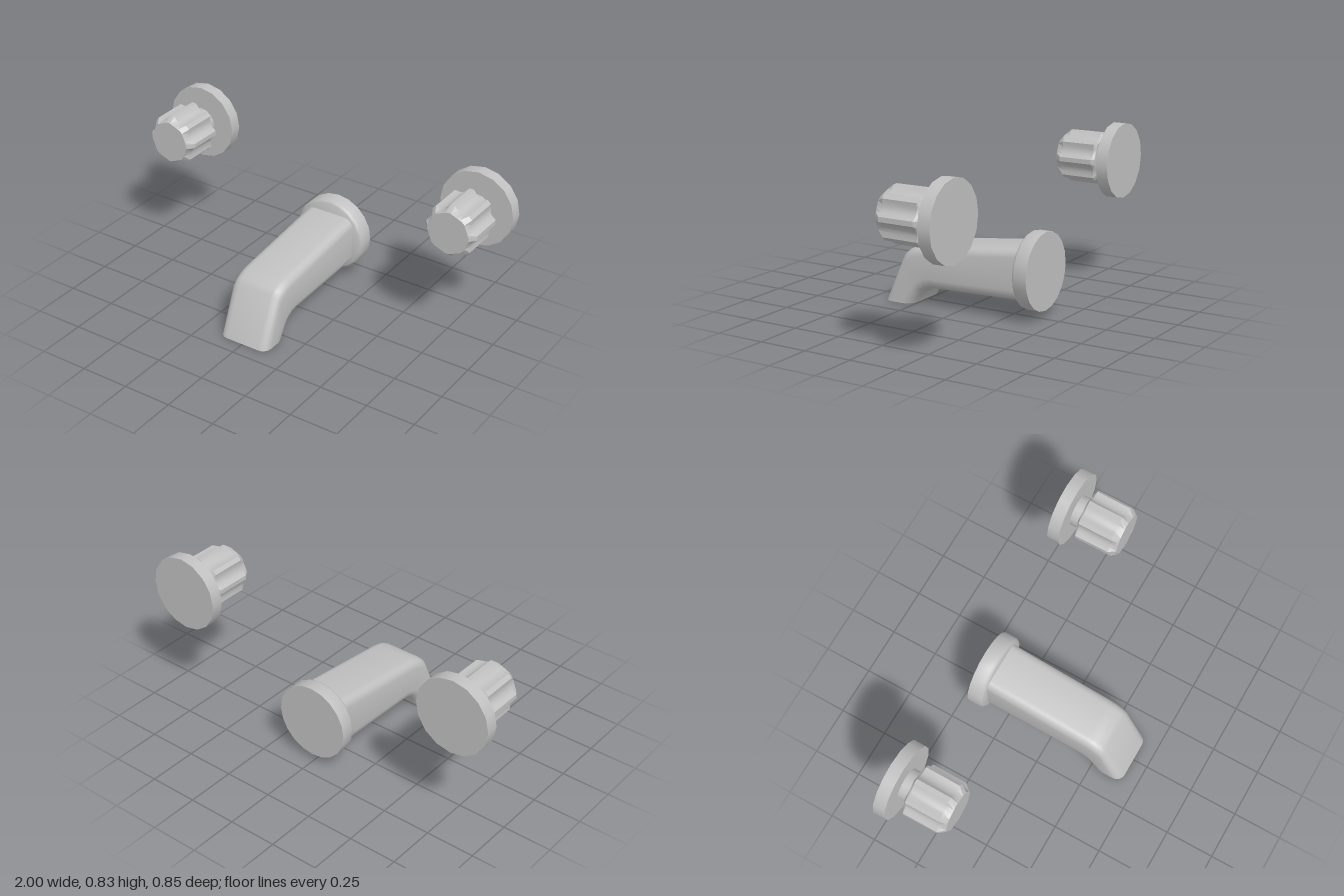
import * as THREE from 'three';
import { toCreasedNormals, mergeVertices } from 'three/addons/utils/BufferGeometryUtils.js';

// Skin a list of equal-length rings (back to front, counter-clockwise from the front), capped at both ends
function loft(rings, crease) {
  const n = rings[0].length;
  const positions = rings.flat().flatMap((p) => [p.x, p.y, p.z]);
  const index = [];
  for (let s = 0; s < rings.length - 1; s++) {
    for (let i = 0; i < n; i++) {
      const j = (i + 1) % n;
      const a = s * n + i, b = s * n + j, c = a + n, d = b + n;
      index.push(a, b, d, a, d, c);
    }
  }
  [rings[0], rings[rings.length - 1]].forEach((ring, end) => {
    const centre = ring.reduce((sum, p) => sum.add(p), new THREE.Vector3()).divideScalar(n);
    const k = positions.length / 3;
    positions.push(centre.x, centre.y, centre.z);
    const base = end ? (rings.length - 1) * n : 0;
    for (let i = 0; i < n; i++) {
      const a = base + i, b = base + ((i + 1) % n);
      if (end) index.push(k, a, b);
      else index.push(k, b, a);
    }
  });
  const geometry = new THREE.BufferGeometry();
  geometry.setAttribute('position', new THREE.Float32BufferAttribute(positions, 3));
  geometry.setIndex(index);
  return toCreasedNormals(geometry, crease);
}

// Rounded rectangle spanning from a bottom point to a top point, both given as [z, y]
function spoutRing(bottom, top) {
  const halfWidth = 0.137;
  const height = Math.hypot(top[0] - bottom[0], top[1] - bottom[1]);
  const ring = [];
  const corners = [[1, 0, 0.055, -90], [1, 1, 0.045, 0], [-1, 1, 0.045, 90], [-1, 0, 0.055, 180]];
  for (const [side, up, r, start] of corners) {
    for (let k = 0; k <= 4; k++) {
      const a = THREE.MathUtils.degToRad(start + k * 22.5);
      const x = side * (halfWidth - r) + r * Math.cos(a);
      const v = ((up ? height - r : r) + r * Math.sin(a)) / height;
      ring.push(new THREE.Vector3(
        x,
        THREE.MathUtils.lerp(bottom[1], top[1], v),
        THREE.MathUtils.lerp(bottom[0], top[0], v)
      ));
    }
  }
  return ring;
}

// Eight narrow lobes separated by wide concave flutes
function knobRing(z, lobe, flute) {
  const ring = [];
  for (let i = 0; i < 8; i++) {
    for (const [deg, depth] of [[-5, 0], [5, 0], [14, 0.8], [22.5, 1], [31, 0.8]]) {
      const a = THREE.MathUtils.degToRad(i * 45 + deg);
      const r = THREE.MathUtils.lerp(lobe, flute, depth);
      ring.push(new THREE.Vector3(r * Math.cos(a), r * Math.sin(a), z));
    }
  }
  return ring;
}

// Cylinder lying along z
function disc(radius, back, front, sides) {
  const geometry = new THREE.CylinderGeometry(radius, radius, front - back, sides);
  geometry.rotateX(Math.PI / 2);
  geometry.translate(0, 0, (front + back) / 2);
  return geometry;
}

export function createModel() {
  const model = new THREE.Group();
  model.name = 'wallTap';
  const metal = new THREE.MeshStandardMaterial({ color: 0xc0c0c0 });
  metal.name = 'grey metal';

  const add = (parent, name, geometry) => {
    const mesh = new THREE.Mesh(geometry, metal);
    mesh.name = name;
    parent.add(mesh);
    return mesh;
  };

  // Spout: tapering arm that bends down to a flat outlet
  const bottoms = [[-0.36, 0.103], [0.145, 0.09], [0.18, 0.083], [0.213, 0.065], [0.235, 0.045], [0.26, 0]];
  const tops = [[-0.36, 0.367], [0.21, 0.301], [0.25, 0.291], [0.285, 0.273], [0.31, 0.25], [0.422, 0]];
  const spout = new THREE.Group();
  spout.name = 'spout';
  add(spout, 'spoutArm', loft(bottoms.map((b, i) => spoutRing(b, tops[i])), 0.7));

  // Wall plate of the spout, with a softened front rim
  const plateProfile = [[0, 0], [0.194, 0], [0.194, 0.065], [0.189, 0.076], [0.178, 0.083], [0, 0.083]]
    .map(([r, h]) => new THREE.Vector2(r, h));
  const plate = new THREE.LatheGeometry(plateProfile, 20);
  plate.deleteAttribute('uv');
  plate.deleteAttribute('normal');
  plate.rotateX(Math.PI / 2);
  plate.translate(0, 0.236, -0.424);
  add(spout, 'spoutWallPlate', toCreasedNormals(mergeVertices(plate), 0.75));
  model.add(spout);

  // Two matching handles
  const knob = loft([
    knobRing(-0.311, 0.115, 0.106),
    knobRing(-0.3, 0.135, 0.113),
    knobRing(-0.12, 0.134, 0.111),
    knobRing(-0.086, 0.108, 0.103),
  ], 0.4);
  for (const side of [-1, 1]) {
    const handle = new THREE.Group();
    handle.name = side > 0 ? 'leftHandle' : 'rightHandle';
    handle.position.set(side * 0.806, 0.639, 0);
    add(handle, 'handleWallPlate', disc(0.194, -0.424, -0.361, 16));
    add(handle, 'handleStem', disc(0.079, -0.37, -0.3, 16));
    add(handle, 'handleKnob', knob);
    model.add(handle);
  }
  return model;
}
